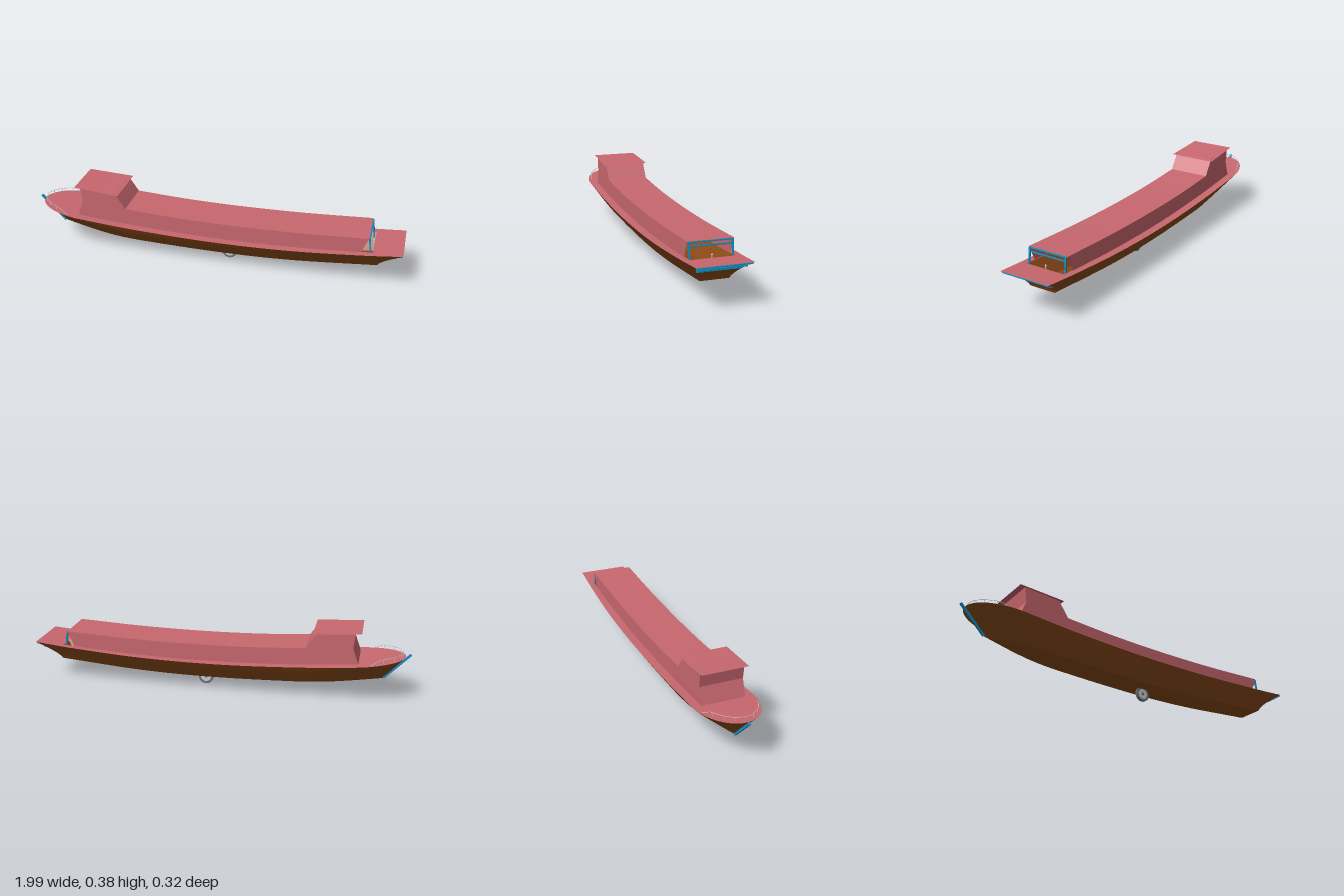
import * as THREE from 'three';

const mat = (color, flat = false) =>
  new THREE.MeshStandardMaterial({ color, flatShading: flat, side: THREE.DoubleSide });
const RED = mat(0xc8686f, true), WOOD = mat(0x8b4a17), BLUE = mat(0x1590c4), GREY = mat(0xcccccc), TYRE = mat(0x6b7075);

const lerp = THREE.MathUtils.lerp;

// Piecewise-smooth value through [x, y] points
function curve(points) {
  return x => {
    let i = 0;
    while (i < points.length - 2 && x > points[i + 1][0]) i++;
    const slope = k => {
      const a = points[Math.max(k - 1, 0)], b = points[Math.min(k + 1, points.length - 1)];
      return (b[1] - a[1]) / (b[0] - a[0]);
    };
    const [x0, y0] = points[i], [x1, y1] = points[i + 1], h = x1 - x0, t = (x - x0) / h;
    return y0 * (1 + 2 * t) * (1 - t) ** 2 + slope(i) * h * t * (1 - t) ** 2
      + y1 * t * t * (3 - 2 * t) - slope(i + 1) * h * t * t * (1 - t);
  };
}

const sheerY = curve([[-0.97, 0.233], [-0.7, 0.208], [-0.4, 0.186], [0, 0.172], [0.4, 0.177], [0.8, 0.2], [0.995, 0.217]]);
const keelY = curve([[-0.86, 0.105], [-0.5, 0.083], [0, 0.069], [0.4, 0.076], [0.87, 0.11]]);
const roofY = curve([[-0.465, 0.28], [-0.2, 0.265], [0.1, 0.259], [0.45, 0.264], [0.82, 0.281]]);
const sternTaper = curve([[-0.72, 0.157], [0.2, 0.157], [0.6, 0.151], [0.995, 0.137]]);
const sheerZ = x => x < -0.72 ? 0.157 * Math.sqrt(Math.max(0, 1 - ((x + 0.72) / 0.25) ** 2)) : sternTaper(x);
const keelZ = x => 0.077 * Math.sin(Math.PI / 2 * Math.min(1, (x + 0.86) / 0.45)) - 0.007 * Math.max(0, x / 0.87) ** 2;

// Grid surface from a rule fn(u, v) -> [x, y, z]
function surface(nu, nv, fn, material, name) {
  const pos = [], idx = [];
  for (let i = 0; i <= nu; i++) for (let j = 0; j <= nv; j++) {
    pos.push(...fn(i / nu, j / nv));
    if (i < nu && j < nv) {
      const a = i * (nv + 1) + j, b = a + nv + 1;
      idx.push(a, a + 1, b, b, a + 1, b + 1);
    }
  }
  const g = new THREE.BufferGeometry();
  g.setAttribute('position', new THREE.Float32BufferAttribute(pos, 3));
  g.setIndex(idx);
  g.computeVertexNormals();
  const m = new THREE.Mesh(g, material);
  m.name = name;
  return m;
}

// Square beam between two points
function beam(a, b, size, name, material = BLUE) {
  const p = new THREE.Vector3(...a), q = new THREE.Vector3(...b);
  const m = new THREE.Mesh(new THREE.BoxGeometry(size, size, p.distanceTo(q)), material);
  m.position.copy(p).lerp(q, 0.5);
  m.lookAt(q);
  m.name = name;
  return m;
}

// Hull side point: s runs bow to stern, v runs chine to gunwale
function hullPoint(s, v, side) {
  const xb = lerp(-0.86, 0.87, s), xs = lerp(-0.97, 0.995, s);
  return [xb + (xs - xb) * v ** (1 + 0.5 * s),
    lerp(keelY(xb), sheerY(xs), v),
    side * (lerp(keelZ(xb), sheerZ(xs), v) + 0.006 * Math.sin(Math.PI * v) * Math.min(1, s * 6) * (1 - s))];
}

function buildHull() {
  const g = new THREE.Group();
  g.name = 'hull';
  for (const side of [1, -1])
    g.add(surface(70, 8, (u, v) => hullPoint(u ** 1.8, v, side), WOOD, side > 0 ? 'hullSideFront' : 'hullSideBack'));
  g.add(surface(60, 2, (u, v) => {
    const [x, y, z] = hullPoint(u ** 1.8, 0, 1);
    return [x, y, z * (1 - 2 * v)];
  }, WOOD, 'hullBottom'));
  g.add(surface(4, 1, (u, v) => hullPoint(1, u * 0.6, v ? 1 : -1), WOOD, 'transom'));
  g.add(beam([-0.862, 0.107, 0], [-0.995, 0.243, 0], 0.011, 'stemBar'));
  return g;
}

const CABIN_Z = 0.112, CABIN_FRONT = -0.735, WELL_END = 0.845;

function buildDeck() {
  const g = new THREE.Group();
  g.name = 'deck';
  const full = (x0, x1, p, name) => g.add(surface(24, 2, (u, v) => {
    const x = lerp(x0, x1, u ** p);
    return [x, sheerY(x), sheerZ(x) * (1 - 2 * v)];
  }, RED, name));
  full(-0.97, CABIN_FRONT, 1.8, 'foreDeck');
  full(WELL_END, 0.995, 1, 'aftDeck');
  for (const side of [1, -1])
    g.add(surface(40, 1, (u, v) => {
      const x = lerp(CABIN_FRONT, WELL_END, u);
      return [x, sheerY(x), side * lerp(CABIN_Z - 0.004, sheerZ(x), v)];
    }, RED, 'sideDeck'));
  return g;
}

function buildCabin() {
  const g = new THREE.Group();
  g.name = 'cabin';
  // Stations: [bottom x, middle x, middle y, top x, top y]
  const st = [[CABIN_FRONT, -0.705, 0.295, -0.715, 0.373], [-0.52, -0.52, 0.28, -0.52, 0.361],
    [-0.465, -0.465, 0.235, -0.465, 0.28]];
  const n = 28;
  for (let i = 1; i <= n; i++) {
    const t = i / n, xt = lerp(-0.465, 0.82, t), xb = lerp(-0.465, 0.785, t);
    st.push([xb, (xb + xt) / 2, (sheerY(xb) + roofY(xt)) / 2, xt, roofY(xt)]);
  }
  const at = (i, row) => {
    const s = st[i];
    return row === 0 ? [s[0], sheerY(s[0])] : row === 1 ? [s[1], s[2]] : [s[3], s[4]];
  };
  const last = st.length - 1;
  for (const side of [1, -1])
    g.add(surface(last, 2, (u, v) => [...at(Math.round(u * last), Math.round(v * 2)), side * CABIN_Z], RED, 'cabinWall'));
  g.add(surface(last, 1, (u, v) => [...at(Math.round(u * last), 2), CABIN_Z * (1 - 2 * v)], RED, 'cabinRoof'));
  g.add(surface(2, 1, (u, v) => [...at(0, Math.round(u * 2)), CABIN_Z * (1 - 2 * v)], RED, 'wheelhouseFrontWall'));
  // Overhanging wheelhouse roof
  g.add(surface(1, 1, (u, v) => [lerp(-0.745, -0.5, u), lerp(0.376, 0.359, u), lerp(0.12, 0.127, u) * (1 - 2 * v)],
    RED, 'wheelhouseRoof'));
  return g;
}

function buildSternFrame() {
  const g = new THREE.Group();
  g.name = 'sternFrame';
  for (const side of [1, -1]) {
    g.add(beam([0.835, 0.172, side * 0.105], [0.822, 0.278, side * 0.105], 0.008, 'framePost'));
    g.add(beam([0.93, 0.176, side * 0.07], [0.95, 0.19, side * 0.09], 0.005, 'frameBrace'));
  }
  // Cross bars: [x, y, half width]
  for (const [x, y, w] of [[0.82, 0.276, 0.108], [0.822, 0.257, 0.105], [0.985, 0.209, 0.132],
    [0.955, 0.19, 0.12], [0.925, 0.174, 0.108]])
    g.add(beam([x, y, -w], [x, y, w], 0.006, 'crossBar'));
  g.add(beam([0.84, 0.178, 0], [0.84, 0.215, 0], 0.004, 'tillerRod', GREY));
  const knob = new THREE.Mesh(new THREE.SphereGeometry(0.005, 12, 8), GREY);
  knob.position.set(0.84, 0.217, 0);
  knob.name = 'tillerKnob';
  g.add(knob);
  return g;
}

function buildBowRail() {
  const g = new THREE.Group();
  g.name = 'bowRail';
  const pts = [];
  for (let i = 0; i <= 32; i++) {
    const a = (i / 16 - 1) * 1.25, x = -0.72 - 0.235 * Math.cos(a);
    const lift = 0.024 * Math.min(1, (1.25 - Math.abs(a)) * 4);
    const p = new THREE.Vector3(x, sheerY(x) + lift, 0.142 * Math.sin(a));
    pts.push(p);
    if (i % 4 === 0 && lift > 0.01)
      g.add(beam([p.x, p.y - lift, p.z], [p.x, p.y, p.z], 0.002, 'railPost', GREY));
  }
  const rail = new THREE.Mesh(new THREE.TubeGeometry(new THREE.CatmullRomCurve3(pts), 64, 0.0013, 6), GREY);
  rail.name = 'handRail';
  g.add(rail);
  return g;
}

function buildWheel() {
  const g = new THREE.Group();
  g.name = 'keelWheel';
  const disc = (r, w, material, name) => {
    const m = new THREE.Mesh(new THREE.CylinderGeometry(r, r, w, 32), material);
    m.rotation.x = Math.PI / 2;
    m.name = name;
    g.add(m);
  };
  disc(0.04, 0.012, TYRE, 'tyre');
  disc(0.028, 0.0128, GREY, 'rim');
  disc(0.008, 0.0136, TYRE, 'hub');
  g.position.set(0.08, 0.04, 0);
  return g;
}

export function createModel() {
  const model = new THREE.Group();
  model.name = 'barge';
  model.add(buildHull(), buildDeck(), buildCabin(), buildSternFrame(), buildBowRail(), buildWheel());
  return model;
}
